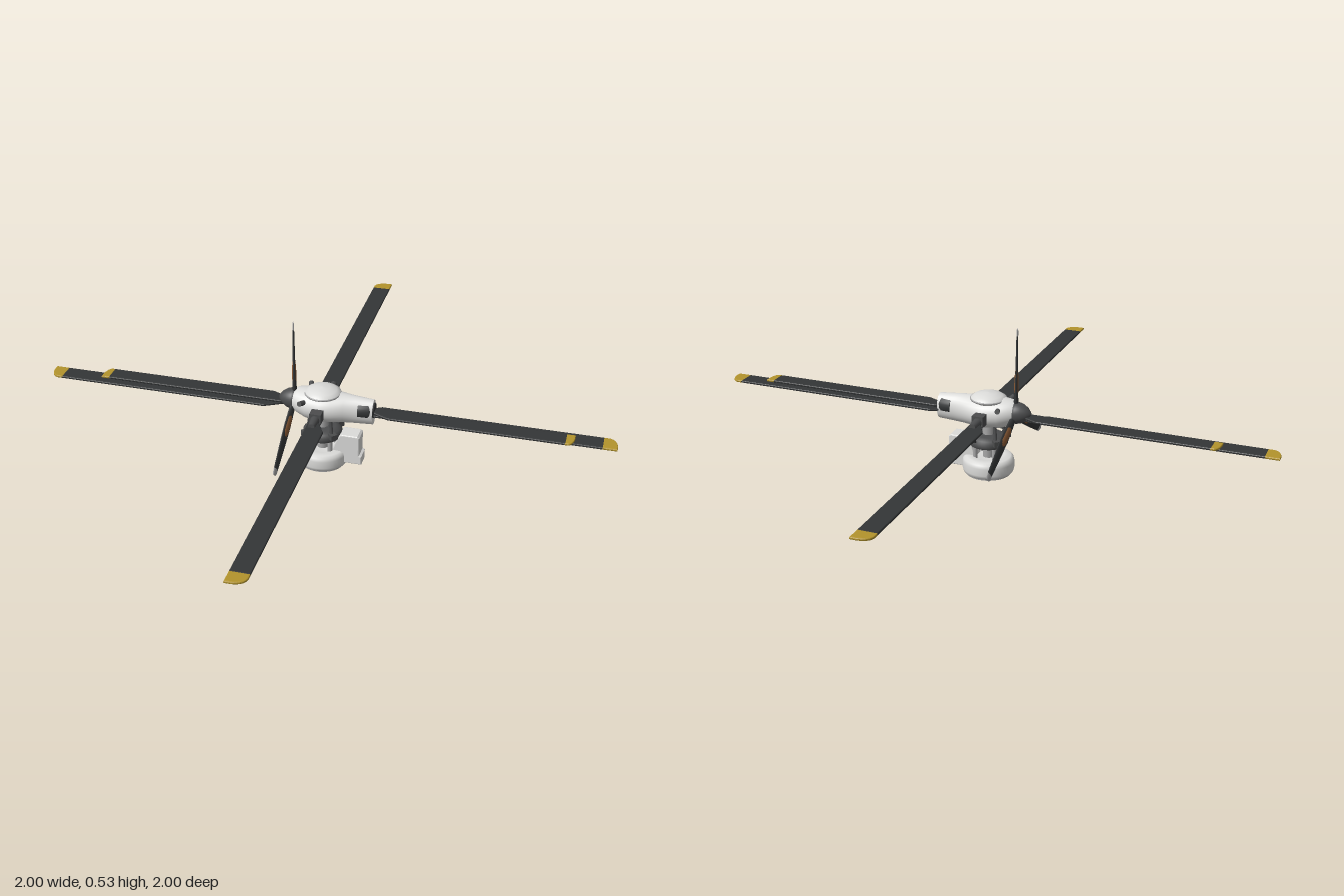
import * as THREE from 'three';

const mat = (name, color) => Object.assign(new THREE.MeshStandardMaterial({ color }), { name });

export function createModel() {
  const M = {
    white: mat('whitePaint', 0xdcdcda),
    grey: mat('lightGrey', 0xa8a8a8),
    steel: mat('darkSteel', 0x4c4d4e),
    black: mat('bladeBlack', 0x343637),
    gold: mat('tipYellow', 0xb3942c),
    brown: mat('cuffBrown', 0x8a5a35),
  };
  const root = new THREE.Group();
  root.name = 'rotorAssembly';

  const add = (parent, name, geo, material, x = 0, y = 0, z = 0) => {
    const m = new THREE.Mesh(geo, material);
    m.name = name;
    m.position.set(x, y, z);
    parent.add(m);
    return m;
  };
  const group = (name, x = 0, y = 0, z = 0) => {
    const g = new THREE.Group();
    g.name = name;
    g.position.set(x, y, z);
    root.add(g);
    return g;
  };
  const lathe = (pts, n = 40) =>
    new THREE.LatheGeometry(pts.map(p => new THREE.Vector2(p[0], p[1])), n);
  const rod = (parent, name, a, b, r, material) => {
    const A = new THREE.Vector3(...a), d = new THREE.Vector3(...b).sub(A);
    const m = add(parent, name, new THREE.CylinderGeometry(r, r, d.length(), 10), material);
    m.position.copy(A).addScaledVector(d, 0.5);
    m.quaternion.setFromUnitVectors(new THREE.Vector3(0, 1, 0), d.normalize());
    return m;
  };

  // Closed elliptical body along x, from sections [x, centreY, radiusY, radiusZ]
  const loft = (sections, n = 24) => {
    const first = sections[0], last = sections[sections.length - 1];
    const rings = [[first[0], first[1], 0, 0], first, ...sections, last, [last[0], last[1], 0, 0]];
    const pos = [], idx = [];
    rings.forEach(([x, cy, ry, rz], i) => {
      for (let j = 0; j < n; j++) {
        const t = (j / n) * Math.PI * 2;
        pos.push(x, cy + ry * Math.cos(t), rz * Math.sin(t));
        if (i < rings.length - 1) {
          const a = i * n + j, b = i * n + (j + 1) % n;
          idx.push(a, b, a + n, b, b + n, a + n);
        }
      }
    });
    const g = new THREE.BufferGeometry();
    g.setAttribute('position', new THREE.Float32BufferAttribute(pos, 3));
    g.setIndex(idx);
    g.computeVertexNormals();
    return g;
  };

  // Flat plate outlined in (radius, chord), laid horizontally along +x
  const plate = (shape, thick) => {
    const g = new THREE.ExtrudeGeometry(shape, {
      depth: thick * 0.4, bevelEnabled: true, bevelThickness: thick * 0.3,
      bevelSize: 0.004, bevelOffset: -0.004, bevelSegments: 2, curveSegments: 8,
    });
    g.translate(0, 0, -thick * 0.2);
    return g.rotateX(-Math.PI / 2);
  };

  // Rotor blade with a tapered root and a painted tip rounded on its wide side
  const rotorBlade = (parent, name, r0, r1, c0, c1, tipLen) => {
    const b = new THREE.Group();
    b.name = name;
    parent.add(b);
    const lead = Math.abs(c1) > Math.abs(c0);
    const [near, far] = lead ? [c0, c1] : [c1, c0];
    const s = Math.sign(far), rt = r1 - tipLen;
    const body = new THREE.Shape();
    body.moveTo(r0, near * 0.6);
    body.lineTo(r0 + 0.03, near);
    body.lineTo(rt + 0.004, near);
    body.lineTo(rt + 0.004, far);
    body.lineTo(r0 + 0.07, far);
    body.lineTo(r0, s * 0.008);
    add(b, 'bladeBody', plate(body, 0.009), M.black);
    const tip = new THREE.Shape();
    tip.moveTo(rt, near);
    tip.lineTo(r1, near);
    tip.lineTo(r1, near + (far - near) * 0.35);
    tip.quadraticCurveTo(r1 - tipLen * 0.1, far - s * 0.005, r1 - tipLen * 0.6, far);
    tip.lineTo(rt, far);
    add(b, 'bladeTip', plate(tip, 0.0092), M.gold);
    return b;
  };

  // Four main blades, each offset to the same side of its spoke
  const rotor = group('mainRotor', 0, 0.217, 0);
  for (let i = 0; i < 4; i++) {
    const b = rotorBlade(rotor, 'mainBlade', i % 2 ? 0.095 : 0.13, 1, -0.02, 0.045, 0.05);
    b.rotation.y = i * Math.PI / 2;
    if (i % 2) {
      const grip = add(b, 'bladeGrip', new THREE.CylinderGeometry(0.012, 0.02, 0.1, 14), M.steel, 0.1, 0.006, 0);
      grip.rotation.z = -Math.PI / 2;
      add(b, 'gripClamp', new THREE.BoxGeometry(0.035, 0.038, 0.04), M.steel, 0.085, 0.008, 0);
      rod(b, 'pitchLink', [0.075, -0.08, 0.02], [0.095, 0.0, 0.02], 0.005, M.black);
    }
  }
  // Shorter upper pair
  const pair = group('upperBlades', 0.025, 0.226, 0);
  for (let i = 0; i < 2; i++)
    rotorBlade(pair, 'upperBlade', 0.14, 0.835, -0.04, 0.02, 0.03).rotation.y = i * Math.PI;

  // Nacelle with cap and dark tail opening
  add(root, 'nacelle', loft([
    [-0.105, 0.236, 0.034, 0.034], [-0.085, 0.235, 0.045, 0.048], [-0.05, 0.23, 0.053, 0.063],
    [0, 0.227, 0.055, 0.07], [0.04, 0.226, 0.054, 0.063], [0.08, 0.226, 0.052, 0.047],
    [0.12, 0.225, 0.05, 0.036], [0.18, 0.224, 0.046, 0.031],
  ], 32), M.white);
  add(root, 'hubCap', lathe([[0, 0.297], [0.025, 0.295], [0.048, 0.288], [0.062, 0.278],
    [0.062, 0.272], [0.045, 0.262], [0, 0.262]].reverse()), M.white);
  add(root, 'hubCapRim', new THREE.TorusGeometry(0.061, 0.003, 8, 40).rotateX(Math.PI / 2), M.grey, 0, 0.276, 0);
  add(root, 'tailOpening', loft([[0.13, 0.232, 0.034, 0.039], [0.165, 0.232, 0.034, 0.036],
    [0.184, 0.23, 0.026, 0.024]]), M.black);
  for (const s of [-1, 1])
    rod(root, 'exhaustStub', [-0.05, 0.25, s * 0.04], [-0.062, 0.262, s * 0.078], 0.009, M.steel);

  // Nose propeller with three pitched blades
  const prop = group('propeller', -0.1, 0.236, 0);
  add(prop, 'spinner', lathe([[0, -0.012], [0.038, -0.012], [0.038, 0.006], [0.033, 0.025],
    [0.022, 0.042], [0.009, 0.053], [0, 0.055]]).rotateZ(Math.PI / 2), M.steel);
  for (let i = 0; i < 3; i++) {
    const arm = new THREE.Group();
    arm.name = 'propellerArm';
    arm.rotation.x = 0.03 + i * Math.PI * 2 / 3;
    prop.add(arm);
    const pitched = (name, sections, m) =>
      add(arm, name, loft(sections, 16).rotateZ(Math.PI / 2).rotateY(0.3), m);
    pitched('propellerBlade', [[0.02, 0, 0.009, 0.01], [0.06, 0, 0.007, 0.016], [0.11, 0, 0.005, 0.02],
      [0.18, 0, 0.004, 0.018], [0.274, 0, 0.003, 0.013]], M.black);
    pitched('propellerTip', [[0.274, 0, 0.0032, 0.0132], [0.29, 0, 0.003, 0.012], [0.296, 0, 0.002, 0.008]], M.grey);
    pitched('propellerCuff', [[0.06, 0, 0.005, 0.007], [0.08, 0, 0.008, 0.015], [0.13, 0, 0.0065, 0.016],
      [0.165, 0, 0.003, 0.009]], M.brown);
  }

  // Mast, swashplate and control links
  const mast = group('mast');
  rod(mast, 'shaft', [0, 0.05, 0], [0, 0.2, 0], 0.02, M.grey);
  add(mast, 'swashplate', lathe([[0, 0.108], [0.064, 0.108], [0.068, 0.113], [0.068, 0.128],
    [0.06, 0.136], [0.045, 0.145], [0, 0.145]]), M.steel);
  for (let i = 0; i < 4; i++) {
    const a = i * Math.PI / 2 + Math.PI / 4, c = Math.cos(a), s = Math.sin(a);
    rod(mast, 'strut', [c * 0.05, 0.05, s * 0.05], [c * 0.05, 0.112, s * 0.05], 0.008, M.grey);
    rod(mast, 'controlLink', [c * 0.062, 0.13, s * 0.062], [c * 0.05, 0.2, s * 0.05], 0.006, M.steel);
    add(mast, 'linkLug', new THREE.BoxGeometry(0.024, 0.02, 0.024), M.steel, c * 0.068, 0.132, s * 0.068).rotation.y = -a;
  }

  // Round base housing with rear duct
  const base = group('base');
  add(base, 'housing', lathe([[0, 0.004], [0.08, 0.004], [0.087, 0.01], [0.09, 0.02], [0.09, 0.045],
    [0.087, 0.057], [0.078, 0.065], [0.055, 0.067], [0.05, 0.06], [0, 0.06]], 48), M.white);
  add(base, 'basePlate', new THREE.CylinderGeometry(0.079, 0.079, 0.005, 48), M.grey, 0, 0.0025, 0);
  const side = new THREE.Shape();
  side.moveTo(0.04, 0.02);
  side.lineTo(0.145, 0.02);
  side.lineTo(0.145, 0.052);
  side.lineTo(0.137, 0.056);
  side.lineTo(0.137, 0.125);
  side.lineTo(0.13, 0.131);
  side.lineTo(0.07, 0.131);
  side.quadraticCurveTo(0.048, 0.1, 0.04, 0.06);
  add(base, 'rearDuct', new THREE.ExtrudeGeometry(side, {
    depth: 0.05, bevelEnabled: true, bevelThickness: 0.005, bevelSize: 0.004, bevelOffset: -0.004, bevelSegments: 3,
  }), M.white, 0, 0, -0.025);

  return root;
}
